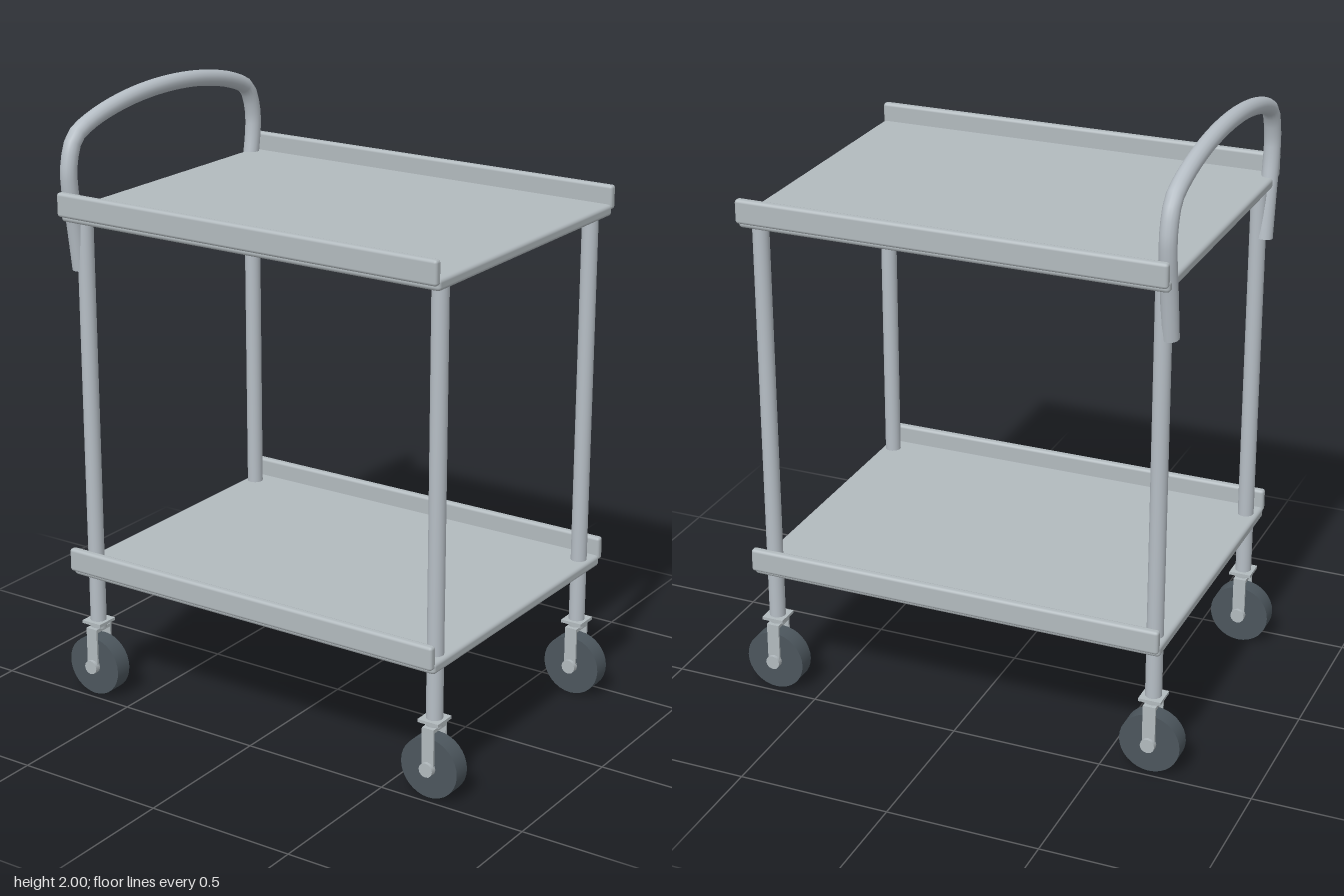
import * as THREE from 'three';
import { RoundedBoxGeometry } from 'three/addons/geometries/RoundedBoxGeometry.js';

const steel = new THREE.MeshStandardMaterial({ color: 0xb2babe });
steel.name = 'brushed steel';
const tubeSteel = new THREE.MeshStandardMaterial({ color: 0xb6bec5 });
tubeSteel.name = 'tube steel';
const rubber = new THREE.MeshStandardMaterial({ color: 0x4c565d });
rubber.name = 'dark rubber';

function add(parent, name, geometry, material, x = 0, y = 0, z = 0) {
  const mesh = new THREE.Mesh(geometry, material);
  mesh.name = name;
  mesh.position.set(x, y, z);
  parent.add(mesh);
  return mesh;
}

// Tray with a raised rail along each long side
function makeShelf(name, y) {
  const shelf = new THREE.Group();
  shelf.name = name;
  add(shelf, 'tray', new RoundedBoxGeometry(1.39, 0.037, 1.03, 2, 0.012), steel, 0, 0.0185, 0);
  for (const side of [-1, 1]) {
    add(shelf, 'sideRail', new RoundedBoxGeometry(1.39, 0.078, 0.028, 2, 0.01), steel, 0, 0.058, side * 0.52);
  }
  shelf.position.y = y;
  return shelf;
}

// Swivel caster: wheel, axle, fork and mounting plates
function makeCaster() {
  const caster = new THREE.Group();
  caster.name = 'caster';
  const wheel = new THREE.CylinderGeometry(0.1, 0.1, 0.06, 32).rotateX(Math.PI / 2);
  add(caster, 'wheel', wheel, rubber, 0, 0.1, 0);
  const axle = new THREE.CylinderGeometry(0.024, 0.024, 0.1, 12).rotateX(Math.PI / 2);
  add(caster, 'axle', axle, steel, 0, 0.1, 0);
  for (const side of [-1, 1]) {
    add(caster, 'forkArm', new THREE.BoxGeometry(0.042, 0.142, 0.007), steel, 0, 0.165, side * 0.0355);
  }
  add(caster, 'forkBridge', new THREE.BoxGeometry(0.042, 0.012, 0.078), steel, 0, 0.23, 0);
  add(caster, 'swivel', new THREE.CylinderGeometry(0.027, 0.027, 0.02, 16), steel, 0, 0.242, 0);
  add(caster, 'mountPlate', new THREE.BoxGeometry(0.074, 0.01, 0.078), steel, 0, 0.254, 0);
  return caster;
}

export function createModel() {
  const cart = new THREE.Group();
  cart.name = 'serviceCart';

  cart.add(makeShelf('lowerShelf', 0.434), makeShelf('upperShelf', 1.625));

  // Corner posts, each standing on a caster
  const post = new THREE.CylinderGeometry(0.0265, 0.0265, 1.385, 20);
  for (const x of [-0.655, 0.655]) {
    for (const z of [-0.445, 0.445]) {
      add(cart, 'post', post, tubeSteel, x, 0.255 + 1.385 / 2, z);
      const caster = makeCaster();
      caster.position.set(x, 0, z);
      cart.add(caster);
    }
  }

  // Arched push handle, mirrored about the middle
  const half = [[0.445, 1.46], [0.468, 1.62], [0.486, 1.73], [0.486, 1.8], [0.455, 1.882], [0.375, 1.922], [0.2, 1.96]];
  const points = [
    ...half.map(([z, y]) => new THREE.Vector3(-0.678, y, z)),
    new THREE.Vector3(-0.678, 1.973, 0),
    ...half.slice().reverse().map(([z, y]) => new THREE.Vector3(-0.678, y, -z)),
  ];
  const path = new THREE.CatmullRomCurve3(points);
  add(cart, 'handle', new THREE.TubeGeometry(path, 48, 0.027, 16), tubeSteel);
  for (const side of [-1, 1]) {
    const cap = add(cart, 'handleEnd', new THREE.CircleGeometry(0.027, 16).rotateX(Math.PI / 2), tubeSteel, -0.678, 1.46, side * 0.445);
    cap.rotation.x = side * 0.14;
  }
  return cart;
}
